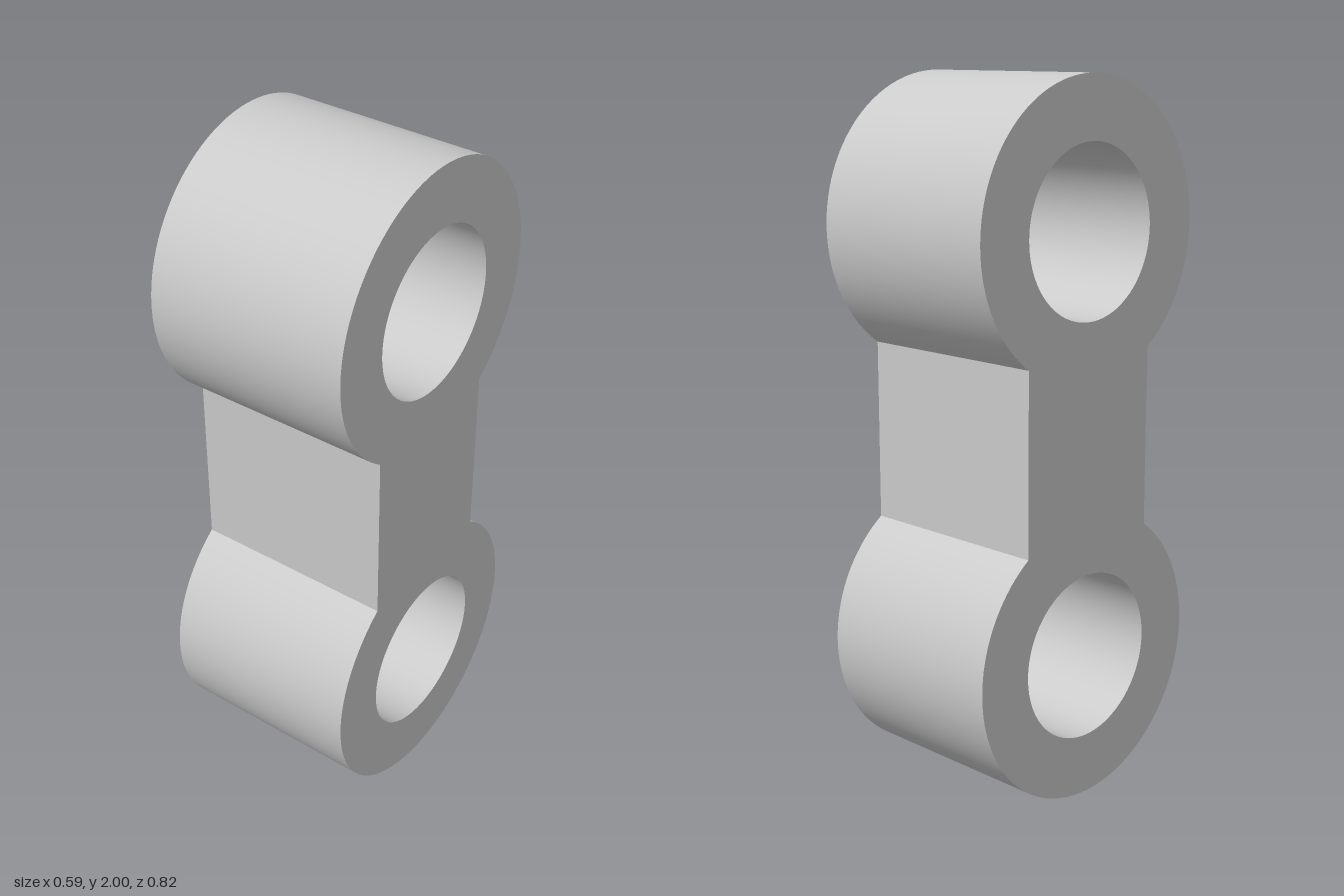
import * as THREE from 'three';
import { toCreasedNormals } from 'three/addons/utils/BufferGeometryUtils.js';

const WIDTH = 0.59;      // thickness along x
const EYE_R = 0.41;      // outer radius of each eye
const BORE_R = 0.237;    // hole radius
const WAIST = 0.237;     // half width of the connecting web
const EYES = [0.41, 1.59]; // heights of the eye centres

export function createModel() {
  const group = new THREE.Group();
  group.name = 'linkPlate';

  // Outline: upper eye, straight web, lower eye; closes along the web
  const a = Math.acos(WAIST / EYE_R);
  const outline = new THREE.Shape();
  outline.absarc(0, EYES[1], EYE_R, -a, Math.PI + a, false);
  outline.absarc(0, EYES[0], EYE_R, Math.PI - a, 2 * Math.PI + a, false);

  // Bores through both eyes
  for (const y of EYES) {
    const bore = new THREE.Path();
    bore.absarc(0, y, BORE_R, 0, 2 * Math.PI, true);
    outline.holes.push(bore);
  }

  // Extrude across the width and turn the profile to face sideways
  const geometry = new THREE.ExtrudeGeometry(outline, {
    depth: WIDTH, bevelEnabled: false, curveSegments: 48,
  });
  geometry.translate(0, 0, -WIDTH / 2);
  geometry.rotateY(Math.PI / 2);

  const link = new THREE.Mesh(
    toCreasedNormals(geometry, Math.PI / 6),
    new THREE.MeshStandardMaterial({ color: 0xcccccc }),
  );
  link.name = 'linkBody';
  group.add(link);
  return group;
}
